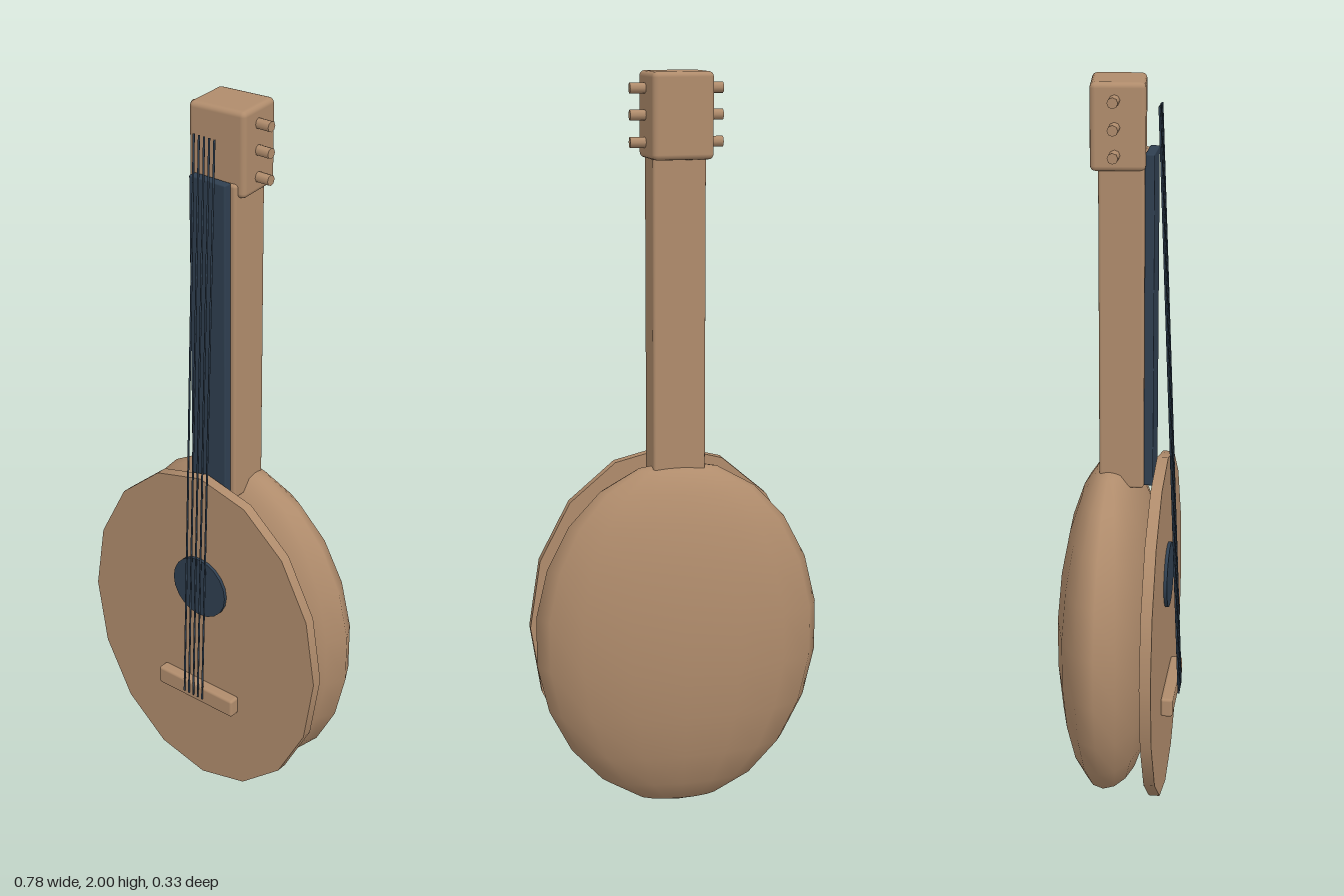
import * as THREE from 'three';
import { RoundedBoxGeometry } from 'three/addons/geometries/RoundedBoxGeometry.js';

const wood = new THREE.MeshStandardMaterial({ color: 0xb08c6c });
wood.name = 'wood';
const dark = new THREE.MeshStandardMaterial({ color: 0x2f3f50 });
dark.name = 'dark blue grey';

export function createModel() {
  const model = new THREE.Group();
  model.name = 'lute';

  const add = (name, geometry, material, x, y, z, parent = model) => {
    const mesh = new THREE.Mesh(geometry, material);
    mesh.name = name;
    mesh.position.set(x, y, z);
    parent.add(mesh);
    return mesh;
  };

  // Flattened round bowl behind the soundboard
  const bowl = new THREE.SphereGeometry(1, 16, 11);
  bowl.scale(0.39, 0.485, 0.142);
  add('bowl', bowl, wood, 0, 0.495, -0.025);

  // Sixteen-sided oval soundboard with a corner at the top
  const board = new THREE.CylinderGeometry(1, 1, 0.03, 16);
  board.rotateX(Math.PI / 2);
  board.scale(0.388, 0.495, 1);
  add('soundboard', board, wood, 0, 0.495, 0.11);

  // Sound hole disc and bridge
  const hole = new THREE.CylinderGeometry(0.09, 0.09, 0.009, 20);
  hole.rotateX(Math.PI / 2);
  add('soundHole', hole, dark, 0, 0.648, 0.1295);
  add('bridge', new RoundedBoxGeometry(0.264, 0.055, 0.034, 2, 0.008), wood, 0, 0.305, 0.14);

  // Neck and fretboard
  add('neck', new RoundedBoxGeometry(0.14, 0.89, 0.118, 2, 0.008), wood, 0, 1.37, 0.007);
  add('fretboard', new RoundedBoxGeometry(0.114, 0.89, 0.025, 2, 0.004), dark, 0, 1.375, 0.0775);

  // Headstock, turned slightly about the neck
  const head = add('headstock', new RoundedBoxGeometry(0.164, 0.222, 0.14, 2, 0.014), wood, 0, 1.889, -0.008);
  head.rotation.y = 0.1;

  // Three tuning pegs on each side
  for (const side of [-1, 1]) {
    for (const y of [1.82, 1.889, 1.957]) {
      const peg = new THREE.CylinderGeometry(0.014, 0.014, 0.07, 8);
      peg.rotateZ(Math.PI / 2);
      add('tuningPeg', peg, wood, side * 0.087, y, -0.008);
    }
  }

  // Five strings from bridge to headstock
  for (let i = -2; i <= 2; i++) {
    const x = i * 0.016;
    const path = new THREE.LineCurve3(new THREE.Vector3(x, 0.3, 0.163), new THREE.Vector3(x, 1.935, 0.098));
    add('string', new THREE.TubeGeometry(path, 1, 0.0028, 6), dark, 0, 0, 0);
  }

  return model;
}
